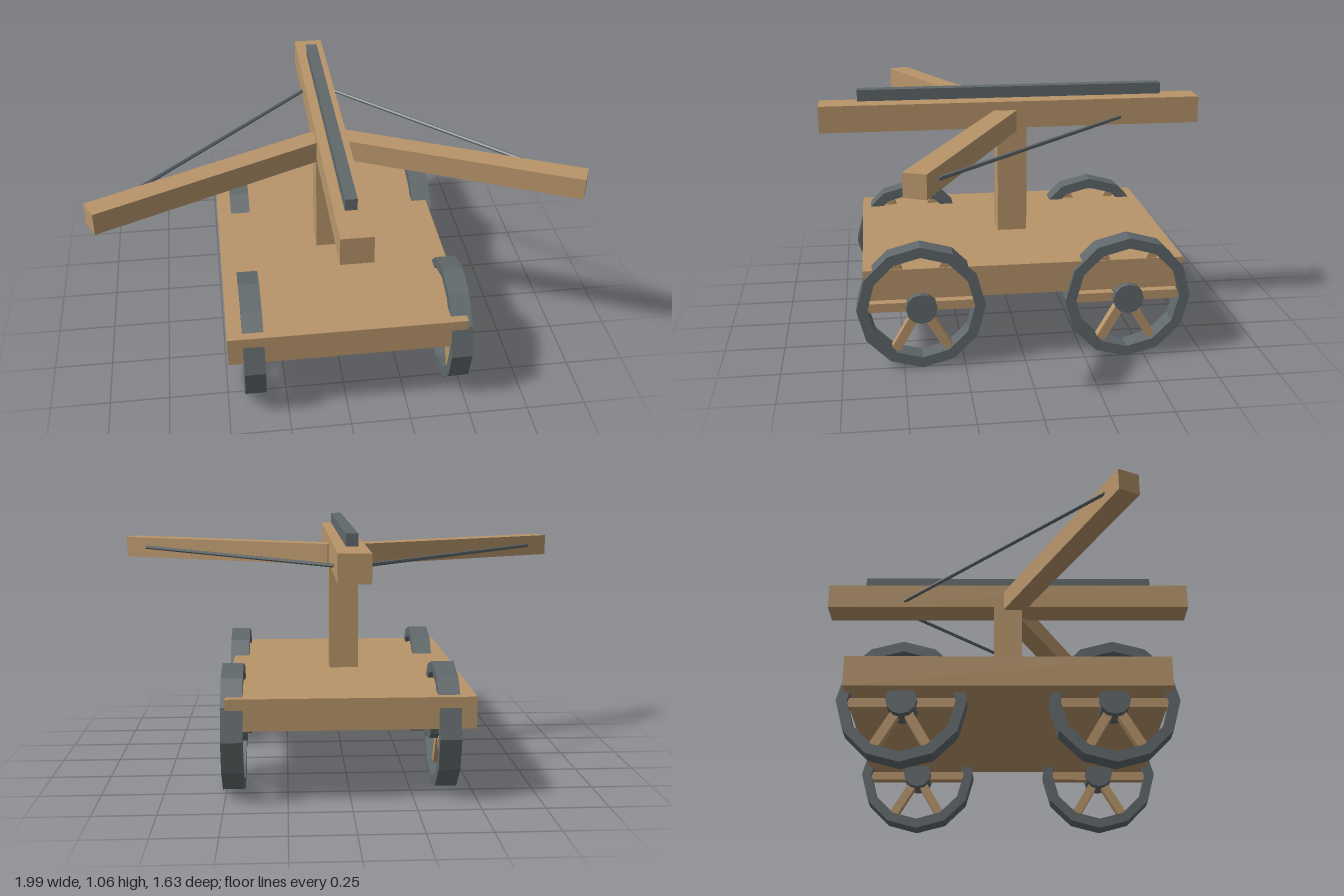
import * as THREE from 'three';

const wood = new THREE.MeshStandardMaterial({ color: 0xb8956a, flatShading: true });
const iron = new THREE.MeshStandardMaterial({ color: 0x60686b, flatShading: true });

function add(parent, name, geometry, material, x = 0, y = 0, z = 0) {
  const mesh = new THREE.Mesh(geometry, material);
  mesh.name = name;
  mesh.position.set(x, y, z);
  parent.add(mesh);
  return mesh;
}

function polygon(PathType, radius, sides) {
  const points = [];
  for (let i = 0; i < sides; i++) {
    const a = (i / sides) * Math.PI * 2;
    points.push(new THREE.Vector2(Math.cos(a) * radius, Math.sin(a) * radius));
  }
  return new PathType(points);
}

// Wheel with its axle along x
function createWheel() {
  const wheel = new THREE.Group();
  wheel.name = 'wheel';

  const ring = polygon(THREE.Shape, 0.261, 12);
  ring.holes.push(polygon(THREE.Path, 0.217, 12));
  const rim = new THREE.ExtrudeGeometry(ring, { depth: 0.086, bevelEnabled: false });
  rim.translate(0, 0, -0.043);
  rim.rotateY(Math.PI / 2);
  add(wheel, 'rim', rim, iron);

  const hub = new THREE.CylinderGeometry(0.063, 0.063, 0.108, 12);
  hub.rotateZ(Math.PI / 2);
  add(wheel, 'hub', hub, iron);

  // Three full-width bars make six spokes
  for (let i = 0; i < 3; i++) {
    const spoke = add(wheel, 'spoke', new THREE.BoxGeometry(0.04, 0.038, 0.44), wood);
    spoke.rotation.x = (i * Math.PI) / 3;
  }
  return wheel;
}

export function createModel() {
  const model = new THREE.Group();
  model.name = 'siegeBallista';

  // Cart bed, post, stock and bolt rail
  add(model, 'platform', new THREE.BoxGeometry(0.98, 0.128, 1.308), wood, 0, 0.362, 0);
  add(model, 'post', new THREE.BoxGeometry(0.126, 0.5, 0.126), wood, 0, 0.66, 0);
  add(model, 'stock', new THREE.BoxGeometry(0.126, 0.114, 1.634), wood, 0, 0.945, 0);
  add(model, 'rail', new THREE.BoxGeometry(0.048, 0.048, 1.308), iron, 0, 1.036, 0);

  // Wheels: the right pair is set further in than the left pair
  for (const x of [-0.385, 0.466]) {
    for (const z of [-0.425, 0.425]) {
      const wheel = createWheel();
      wheel.position.set(x, 0.262, z);
      model.add(wheel);
    }
  }

  // Bow arms swept forward, with strings drawn back to the stock
  const sweep = THREE.MathUtils.degToRad(25);
  for (const side of [-1, 1]) {
    const arm = add(model, 'bowArm', new THREE.BoxGeometry(1.023, 0.091, 0.091), wood,
      side * 0.5655 * Math.cos(sweep), 0.919, 0.5655 * Math.sin(sweep));
    arm.rotation.y = -side * sweep;

    const start = new THREE.Vector3(side * 0.06, 0.92, -0.47);
    const end = new THREE.Vector3(side * 0.9, 0.92, 0.37);
    const path = new THREE.LineCurve3(start, end);
    const string = add(model, 'bowString',
      new THREE.CylinderGeometry(0.008, 0.008, path.getLength(), 6), iron);
    string.position.copy(start).lerp(end, 0.5);
    string.quaternion.setFromUnitVectors(new THREE.Vector3(0, 1, 0), path.getTangent(0));
  }
  return model;
}
